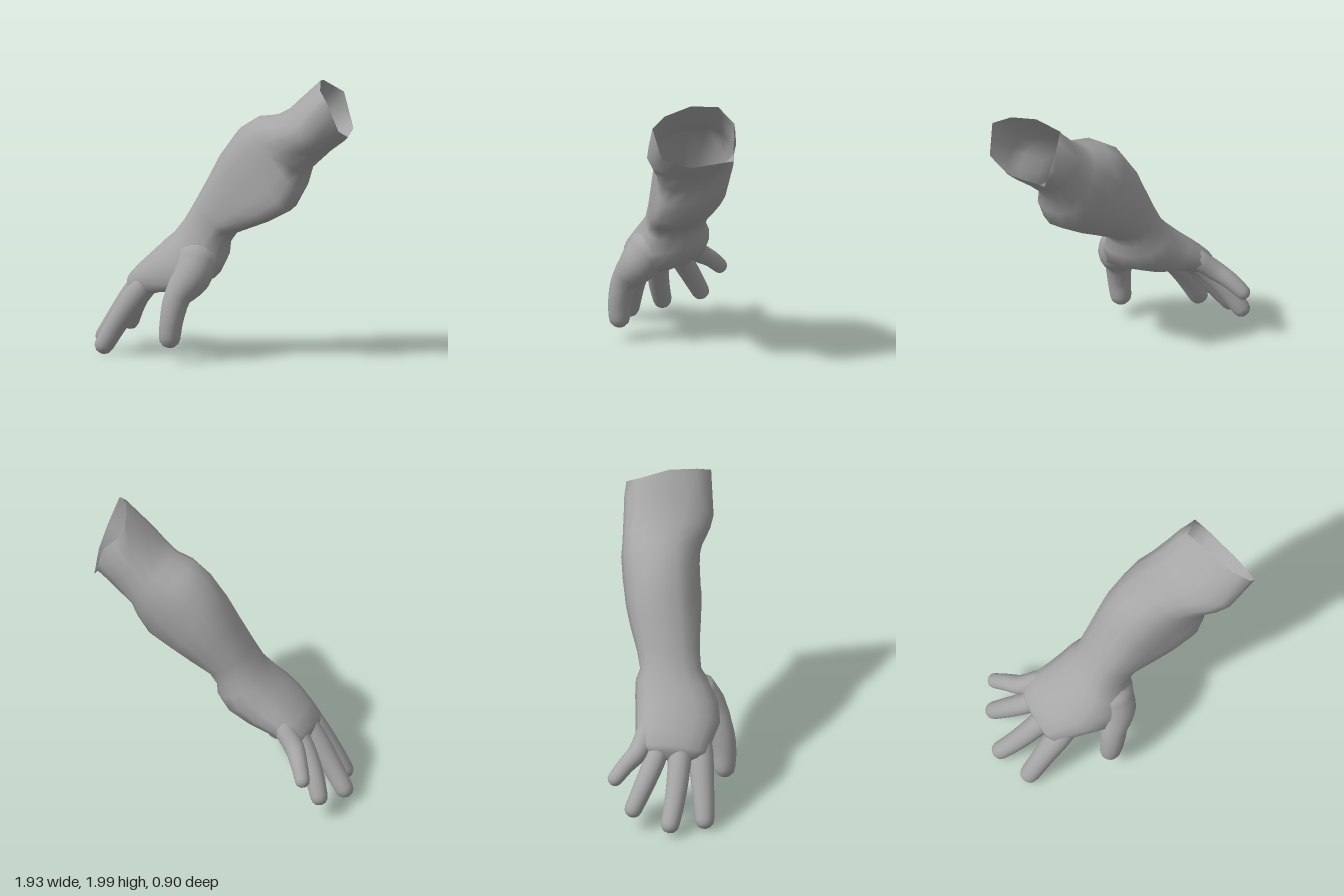
import * as THREE from 'three';

const N = 16; // points around every cross-section

// Skins a list of rings (each an array of N points) with smooth normals.
function loft(rings) {
  const pos = [], idx = [];
  rings.forEach((ring) => ring.forEach((p) => pos.push(p.x, p.y, p.z)));
  for (let i = 0; i < rings.length - 1; i++) {
    for (let j = 0; j < N; j++) {
      const a = i * N + j, b = i * N + ((j + 1) % N);
      idx.push(a, a + N, b, b, a + N, b + N);
    }
  }
  const g = new THREE.BufferGeometry();
  g.setAttribute('position', new THREE.Float32BufferAttribute(pos, 3));
  g.setIndex(idx);
  g.computeVertexNormals();
  return g;
}

// Rounded cross-section from its upper and lower edge points and its z range;
// shift moves the lower edge along z, tilt lowers the +z side.
function section([ux, uy, lx, ly, z0, z1, shift = 0, tilt = 0]) {
  const round = (v) => Math.sign(v) * Math.abs(v) ** 0.88;
  return Array.from({ length: N }, (_, j) => {
    const a = (j / N) * Math.PI * 2;
    const c = round(Math.cos(a)), s = round(Math.sin(a));
    return new THREE.Vector3(
      (ux + lx) / 2 + (c * (ux - lx)) / 2,
      (uy + ly) / 2 + (c * (uy - ly)) / 2 - tilt * s,
      (z0 + z1) / 2 + (s * (z1 - z0)) / 2 + shift * Math.max(0, -c) ** 2
    );
  });
}

// Digit along a curve of [x, y, z, radius], closed by a rounded tip.
function digit(points) {
  const curve = new THREE.CatmullRomCurve3(points.map((p) => new THREE.Vector3(p[0], p[1], p[2])));
  const rings = [], steps = (points.length - 1) * 3;
  const addRing = (center, t, r) => {
    const u = new THREE.Vector3(-1, 0.6, 0);
    u.addScaledVector(t, -u.dot(t)).normalize();
    const s = new THREE.Vector3().crossVectors(u, t);
    rings.push(Array.from({ length: N }, (_, j) => {
      const a = (j / N) * Math.PI * 2;
      return center.clone().addScaledVector(u, r * Math.cos(a)).addScaledVector(s, r * Math.sin(a));
    }));
  };
  for (let i = 0; i <= steps; i++) {
    const k = Math.min(Math.floor(i / 3), points.length - 2);
    const r = THREE.MathUtils.lerp(points[k][3], points[k + 1][3], i / 3 - k);
    addRing(curve.getPoint(i / steps), curve.getTangent(i / steps), r);
  }
  const end = curve.getPoint(1), t = curve.getTangent(1), r = points[points.length - 1][3];
  for (const [d, s] of [[0.5, 0.87], [0.85, 0.53], [1, 0.02]]) {
    addRing(end.clone().addScaledVector(t, d * r), t, s * r);
  }
  return loft(rings);
}

export function createModel() {
  const group = new THREE.Group();
  const skin = new THREE.MeshStandardMaterial({ color: 0xa6a6a6, side: THREE.DoubleSide });
  skin.name = 'grey skin';
  const add = (name, geometry) => {
    const mesh = new THREE.Mesh(geometry, skin);
    mesh.name = name;
    group.add(mesh);
  };

  // Open eight-cornered rim at the upper arm
  const corners = [
    [0.73, 2.0, 0], [0.81, 1.96, 0.19], [0.9, 1.9, 0.29], [0.965, 1.69, 0.23],
    [0.95, 1.62, 0.03], [0.86, 1.63, -0.28], [0.78, 1.88, -0.3], [0.67, 1.97, -0.2],
  ].map((p) => new THREE.Vector3(...p));
  const rim = corners.flatMap((p, i) => [p, p.clone().lerp(corners[(i + 1) % 8], 0.5)]);

  // Elbow, forearm, wrist and palm: upper x, y, lower x, y, z range, shift, tilt
  const sections = [
    [0.58, 1.865, 0.87, 1.57, -0.315, 0.305, -0.09, 0.08],
    [0.49, 1.785, 0.78, 1.5, -0.32, 0.28, -0.05, 0.06],
    [0.38, 1.73, 0.63, 1.35, -0.33, 0.22, 0.05, 0.02],
    [0.24, 1.71, 0.62, 1.24, -0.34, 0.2, 0.13],
    [0.1, 1.62, 0.55, 1.09, -0.33, 0.2, 0.16],
    [-0.02, 1.45, 0.38, 1.0, -0.31, 0.2, 0.15],
    [-0.1, 1.29, 0.25, 0.95, -0.28, 0.2, 0.12],
    [-0.2, 1.1, 0.1, 0.89, -0.235, 0.2, 0.07],
    [-0.27, 0.98, 0.04, 0.81, -0.215, 0.21, 0.04],
    [-0.34, 0.89, 0.04, 0.72, -0.245, 0.28, 0.06, 0.02],
    [-0.42, 0.82, 0.0, 0.59, -0.25, 0.33, 0.12, 0.03],
    [-0.5, 0.745, -0.18, 0.51, -0.25, 0.335, 0.13, 0.03],
    [-0.6, 0.66, -0.38, 0.48, -0.25, 0.285, 0.1, 0.03],
    [-0.67, 0.585, -0.53, 0.44, -0.22, 0.245, 0.04, 0.03],
    [-0.67, 0.53, -0.6, 0.43, -0.16, 0.18, 0, 0.02],
    [-0.65, 0.47, -0.64, 0.46, -0.02, 0.02],
  ];
  add('armAndPalm', loft([rim, ...sections.map(section)]));

  // Fingers and thumb, rooted inside the palm
  const digits = {
    indexFinger: [[-0.36, 0.68, 0.16, 0.03], [-0.46, 0.57, 0.185, 0.085], [-0.57, 0.44, 0.2, 0.09], [-0.69, 0.27, 0.215, 0.078], [-0.805, 0.08, 0.225, 0.068]],
    middleFinger: [[-0.42, 0.67, 0.06, 0.03], [-0.53, 0.57, 0.06, 0.09], [-0.66, 0.43, 0.05, 0.08], [-0.8, 0.24, 0.02, 0.072], [-0.905, 0.1, -0.015, 0.065]],
    ringFinger: [[-0.42, 0.68, -0.05, 0.03], [-0.52, 0.59, -0.07, 0.08], [-0.64, 0.46, -0.12, 0.076], [-0.75, 0.31, -0.2, 0.07], [-0.82, 0.175, -0.27, 0.062]],
    littleFinger: [[-0.4, 0.7, -0.12, 0.03], [-0.51, 0.61, -0.175, 0.072], [-0.62, 0.515, -0.235, 0.07], [-0.69, 0.45, -0.32, 0.06], [-0.745, 0.375, -0.395, 0.053]],
    thumb: [[-0.15, 0.88, 0.06, 0.02], [-0.13, 0.73, 0.16, 0.15], [-0.14, 0.6, 0.25, 0.14], [-0.205, 0.47, 0.335, 0.095], [-0.235, 0.31, 0.37, 0.082], [-0.25, 0.185, 0.37, 0.075]],
  };
  for (const [name, path] of Object.entries(digits)) add(name, digit(path));
  return group;
}
